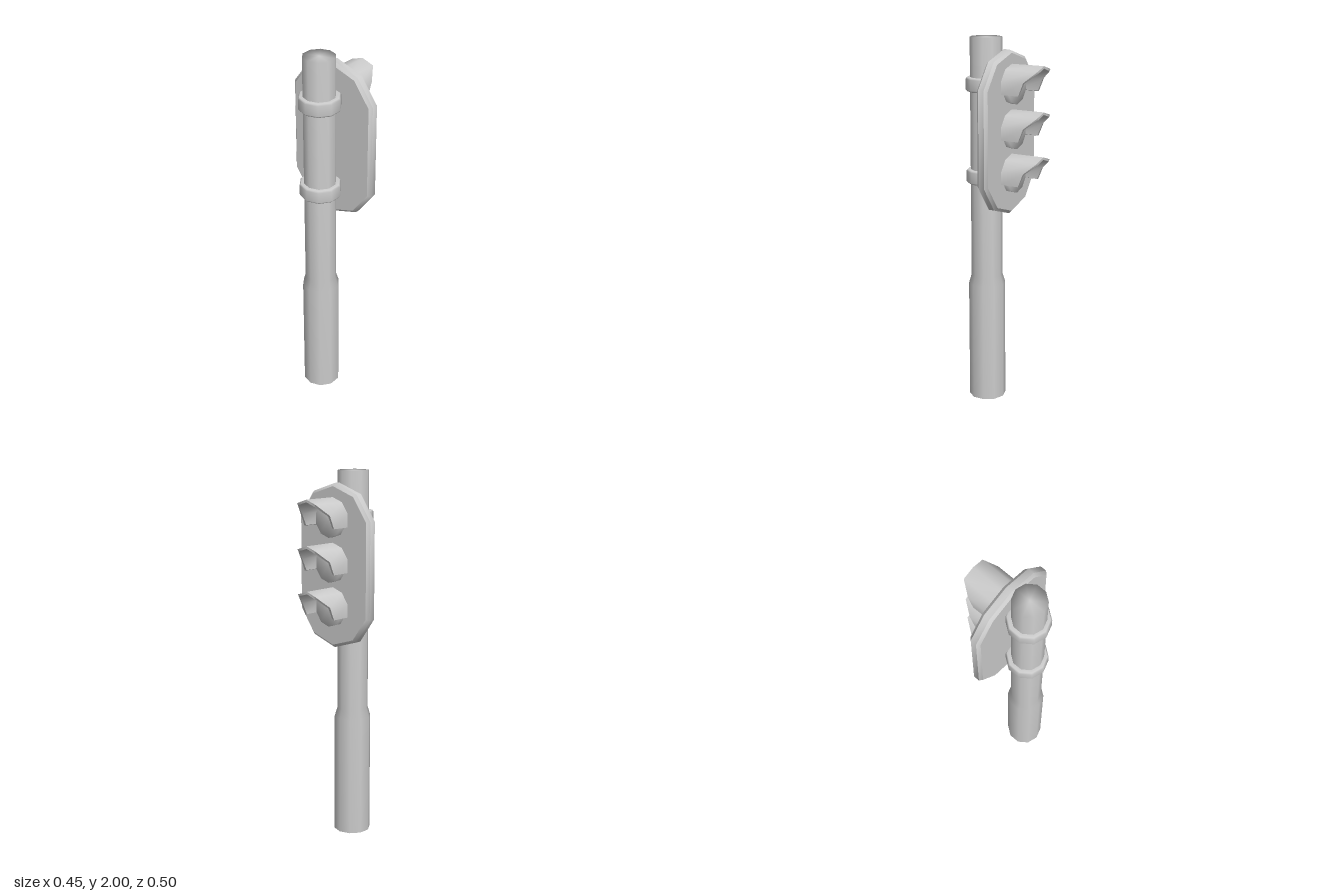
import * as THREE from 'three';
import { toCreasedNormals } from 'three/addons/utils/BufferGeometryUtils.js';

const SIDES = 10;
const POLE_X = -0.12;
const material = new THREE.MeshStandardMaterial({ color: 0xcccccc });
const doubleSided = new THREE.MeshStandardMaterial({ color: 0xcccccc, side: THREE.DoubleSide });

function part(name, geometry, x = 0, y = 0, z = 0, mat = material) {
  const mesh = new THREE.Mesh(geometry, mat);
  mesh.name = name;
  mesh.position.set(x, y, z);
  return mesh;
}

// Ten-sided turned shape with a corner on the x axis
function turned(profile) {
  return new THREE.LatheGeometry(profile.map(([r, y]) => new THREE.Vector2(r, y)), SIDES, Math.PI / 2);
}

// Backing plate: bevelled ten-cornered outline, facing +x
function plateGeometry() {
  const half = [[0, 0.435], [0.155, 0.385], [0.252, 0.253], [0.252, -0.253], [0.155, -0.385], [0, -0.435]];
  const mirrored = half.slice(1, -1).reverse().map(([a, b]) => [-a, b]);
  const shape = new THREE.Shape([...half, ...mirrored].map(([a, b]) => new THREE.Vector2(a, b)));
  const geometry = new THREE.ExtrudeGeometry(shape, {
    depth: 0.033, bevelEnabled: true, bevelThickness: 0.015, bevelSize: 0.015, bevelOffset: -0.015, bevelSegments: 1,
  });
  geometry.translate(0, 0, -0.0165);
  geometry.rotateY(Math.PI / 2);
  return toCreasedNormals(geometry, 0.7);
}

// Hood: thick partial tube along x whose length shortens towards the sides
function hoodGeometry() {
  const reach = [0.225, 0.225, 0.164, 0.135];
  const outer = 0.113, inner = 0.1, base = 0.03;
  const positions = [], indices = [];
  for (let i = -3; i <= 3; i++) {
    const angle = i * Math.PI * 2 / SIDES;
    const tip = reach[Math.abs(i)];
    for (const [r, x] of [[outer, base], [outer, tip], [inner, tip], [inner, base]]) {
      positions.push(x, r * Math.cos(angle), r * Math.sin(angle));
    }
  }
  for (let i = 0; i < 6; i++) {
    for (let j = 0; j < 4; j++) {
      const a = i * 4 + j, b = i * 4 + (j + 1) % 4;
      indices.push(a, a + 4, b, b, a + 4, b + 4);
    }
  }
  // lower rims
  indices.push(0, 1, 2, 0, 2, 3, 24, 26, 25, 24, 27, 26);
  const geometry = new THREE.BufferGeometry();
  geometry.setAttribute('position', new THREE.Float32BufferAttribute(positions, 3));
  geometry.setIndex(indices);
  return toCreasedNormals(geometry, 0.75);
}

export function createModel() {
  const group = new THREE.Group();
  group.name = 'trafficLight';

  // Pole with wider foot and softly shaded top
  group.add(part('pole', turned([[0.1, 0], [0.1, 0.66], [0.085, 0.71], [0.085, 2], [0, 2]]), POLE_X, 0, 0.002));
  const foot = new THREE.CircleGeometry(0.1, SIDES);
  foot.rotateX(Math.PI / 2);
  group.add(part('poleBase', foot, POLE_X, 0, 0.002));

  // Clamps holding the plate
  const clamp = turned([[0.08, -0.037], [0.103, -0.037], [0.11, -0.028], [0.11, 0.028], [0.103, 0.037], [0.08, 0.037]]);
  for (const y of [1.755, 1.263]) group.add(part('clamp', clamp, POLE_X + 0.002, y, 0.002));

  group.add(part('backPlate', plateGeometry(), 0.0035, 1.506, 0));

  // Three lamps, each a lens under a hood
  const lens = turned([[0.095, 0.02], [0.095, 0.067], [0, 0.07]]);
  lens.rotateZ(-Math.PI / 2);
  const hood = hoodGeometry();
  for (const y of [1.756, 1.52, 1.285]) {
    const lamp = new THREE.Group();
    lamp.name = 'lamp';
    lamp.position.y = y;
    lamp.add(part('lens', lens), part('hood', hood, 0, 0, 0, doubleSided));
    group.add(lamp);
  }
  return group;
}
